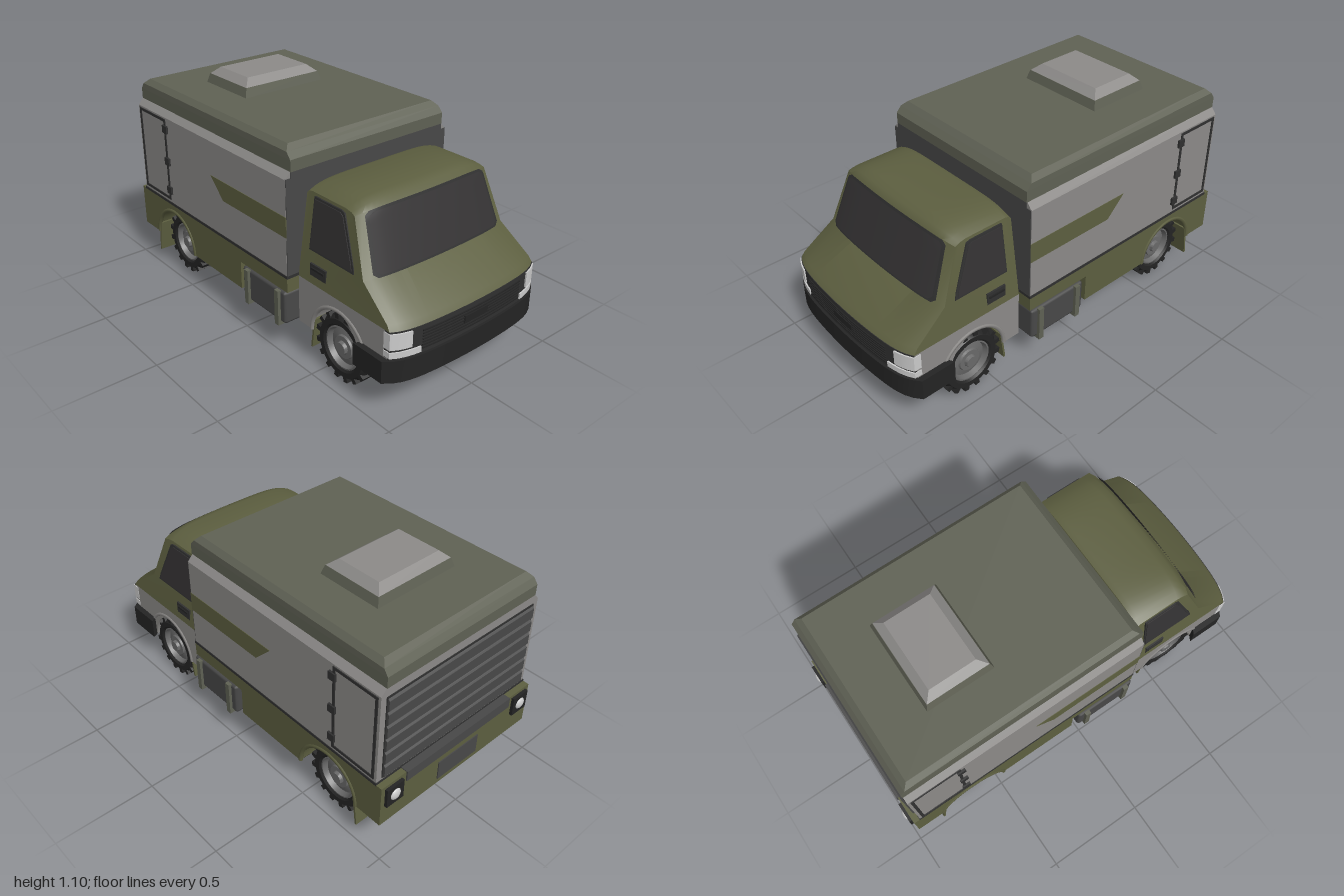
import * as THREE from 'three';
import { toCreasedNormals } from 'three/addons/utils/BufferGeometryUtils.js';
import { RoundedBoxGeometry } from 'three/addons/geometries/RoundedBoxGeometry.js';

const mat = (color) => new THREE.MeshStandardMaterial({ color });
const M = {
  olive: mat(0x5d5f40), roof: mat(0x5f6154), grey: mat(0x8c8a88), black: mat(0x242424),
  dark: mat(0x484848), glass: mat(0x343233), trim: mat(0x303030), lamp: mat(0xcccccc), rim: mat(0x6a6a6a),
};

// Rectangular sections [y, halfWidth, zBack, zFront] joined into a closed, flat-faced body
function loft(levels) {
  const ring = ([y, w, b, f]) => [[w, y, f], [w, y, b], [-w, y, b], [-w, y, f]];
  const pos = [];
  const quad = (a, b, c, d) => pos.push(...a, ...b, ...c, ...a, ...c, ...d);
  const rings = levels.map(ring);
  for (let i = 0; i < rings.length - 1; i++)
    for (let k = 0; k < 4; k++) {
      const n = (k + 1) % 4;
      quad(rings[i][k], rings[i][n], rings[i + 1][n], rings[i + 1][k]);
    }
  quad(...rings[rings.length - 1]);
  quad(...rings[0].slice().reverse());
  const g = new THREE.BufferGeometry();
  g.setAttribute('position', new THREE.Float32BufferAttribute(pos, 3));
  g.computeVertexNormals();
  return g;
}

// Side profile in (z, y) extruded across x from -halfWidth to halfWidth
function sideExtrude(shape, halfWidth, steps = 1) {
  const g = new THREE.ExtrudeGeometry(shape, { depth: 2 * halfWidth, steps, bevelEnabled: false, curveSegments: 24 });
  return g.rotateY(-Math.PI / 2).translate(halfWidth, 0, 0);
}
const polygon = (pts) => new THREE.Shape(pts.map(([z, y]) => new THREE.Vector2(z, y)));

function moveVertices(g, rule) {
  const p = g.attributes.position;
  for (let i = 0; i < p.count; i++) p.setXYZ(i, ...rule(p.getX(i), p.getY(i), p.getZ(i)));
  g.computeVertexNormals();
  return g;
}

// Cab form: narrowing upward, bowed front, rounded roof edges; t runs -1..1 across the width
const cabHalf = (y) => 0.445 - Math.max(0, y - 0.42) * 0.13;
function cabWarp(t, y, z) {
  const front = Math.max(0, (z - 0.345) / 0.655);
  return [t * cabHalf(y), y - 0.04 * t ** 6 * Math.max(0, (y - 0.8) / 0.065),
    z - front * (0.03 * t * t + 0.03 * t ** 8)];
}
function cabBox(t0, t1, y0, y1, z0, z1) {
  const g = new THREE.BoxGeometry(t1 - t0, y1 - y0, z1 - z0, Math.max(2, Math.ceil((t1 - t0) * 12)), 1, 1);
  g.translate((t0 + t1) / 2, (y0 + y1) / 2, (z0 + z1) / 2);
  return toCreasedNormals(moveVertices(g, cabWarp), 0.6);
}
function windscreen(tMax, y0, y1, offset) {
  return moveVertices(new THREE.PlaneGeometry(2, 1, 24, 16), (u, v) => {
    const e = Math.max(0, Math.abs(v) * 2 - 0.86) / 0.14;
    const t = u * tMax * (1 - 0.06 * (1 - Math.sqrt(Math.max(0, 1 - e * e))));
    const y = y0 + (y1 - y0) * (v + 0.5);
    const p = cabWarp(t, y, 0.785 - 0.105 * (y - 0.565) / 0.265);
    p[2] += offset;
    return p;
  });
}

function makeWheel() {
  const w = new THREE.Group();
  const lathe = (pts) => new THREE.LatheGeometry(pts.map(([r, h]) => new THREE.Vector2(r, h)), 36).rotateZ(-Math.PI / 2);
  const part = (name, g, m) => { const o = new THREE.Mesh(toCreasedNormals(g, 0.7), m); o.name = name; w.add(o); return o; };
  part('tyre', lathe([[0.1, -0.06], [0.115, -0.073], [0.14, -0.073], [0.155, -0.052], [0.159, 0],
    [0.155, 0.052], [0.14, 0.073], [0.115, 0.073], [0.1, 0.06]]), M.black);
  part('rim', lathe([[0, -0.05], [0.105, -0.05], [0.108, 0.064], [0.098, 0.066], [0.09, 0.04],
    [0.058, 0.048], [0.054, 0.058], [0.032, 0.058], [0.028, 0.074], [0, 0.074]]), M.rim);
  // Staggered tread lugs
  for (let i = 0; i < 32; i++) {
    const a = (i / 32) * Math.PI * 2, side = i % 2 ? 1 : -1;
    const lug = part('treadLug', new THREE.BoxGeometry(0.068, 0.032, 0.024).translate(side * 0.036, 0.151, 0), M.black);
    lug.rotation.x = a;
  }
  return w;
}

export function createModel() {
  const model = new THREE.Group();
  const add = (name, g, m, parent = model) => {
    const o = new THREE.Mesh(g, m);
    o.name = name;
    parent.add(o);
    return o;
  };
  const box = (name, x0, x1, y0, y1, z0, z1, m) => add(name, new THREE.BoxGeometry(Math.abs(x1 - x0), y1 - y0, z1 - z0)
    .translate((x0 + x1) / 2, (y0 + y1) / 2, (z0 + z1) / 2), m);
  const FRONT = 0.614, REAR = -0.65;

  // Cab shell
  const lower = new THREE.Shape().moveTo(0.345, 0.185).lineTo(FRONT - 0.175, 0.185);
  lower.absarc(FRONT, 0.185, 0.175, Math.PI, 0, true);
  lower.lineTo(0.97, 0.185).lineTo(0.985, 0.42).lineTo(0.345, 0.42);
  add('cabLower', toCreasedNormals(moveVertices(sideExtrude(lower, 1, 24), cabWarp), 0.6), M.grey);
  const upper = polygon([[0.345, 0.42], [0.985, 0.42], [0.965, 0.445], [0.785, 0.565], [0.68, 0.83],
    [0.655, 0.852], [0.615, 0.865], [0.38, 0.865], [0.355, 0.855], [0.345, 0.83]]);
  add('cabUpper', toCreasedNormals(moveVertices(sideExtrude(upper, 1, 24), cabWarp), 0.6), M.olive);
  box('cabBackPanel', -0.44, 0.44, 0.186, 0.42, 0.341, 0.35, M.olive);
  box('cabUnderbody', -0.25, 0.25, 0.182, 0.4, 0.35, 0.9, M.black);
  for (const [z0, z1] of [[0.35, 0.438], [0.79, 0.92]]) box('cabFloor', -0.435, 0.435, 0.181, 0.19, z0, z1, M.black);

  // Cab front
  add('windscreenFrame', windscreen(0.905, 0.567, 0.832, 0.005), M.trim);
  add('windscreen', windscreen(0.865, 0.578, 0.822, 0.009), M.glass);
  add('bumper', cabBox(-1.065, 1.065, 0.18, 0.287, 0.8, 1.0), M.black);
  add('grille', cabBox(-1, 1, 0.285, 0.42, 0.955, 0.988), M.trim);
  for (let i = 0; i < 7; i++) add('grilleSlat', cabBox(-0.68, 0.68, 0.308 + i * 0.014, 0.314 + i * 0.014, 0.96, 0.993), M.black);
  add('grilleCentre', cabBox(-0.16, 0.16, 0.34, 0.375, 0.96, 0.996), M.black);

  // Cargo body, roof and hatch
  add('cargoBody', loft([[0.41, 0.485, -0.94, 0.312], [0.88, 0.485, -0.94, 0.312], [0.912, 0.457, -0.94, 0.312]]), M.grey);
  box('cargoFrontWall', -0.484, 0.484, 0.41, 0.882, 0.308, 0.316, M.dark);
  box('cargoFrontTop', -0.457, 0.457, 0.88, 0.91, 0.308, 0.316, M.dark);
  add('roof', loft([[0.91, 0.458, -0.942, 0.316], [0.965, 0.458, -0.942, 0.316],
    [0.995, 0.457, -0.92, 0.29], [1.02, 0.432, -0.893, 0.265]]), M.roof);
  add('hatchBase', loft([[1.015, 0.235, -0.665, -0.32], [1.065, 0.22, -0.652, -0.335]]), M.roof);
  add('hatchLid', loft([[1.064, 0.22, -0.652, -0.335], [1.1, 0.18, -0.613, -0.378]]), M.grey);
  box('waistTrim', -0.488, 0.488, 0.4, 0.414, -0.944, 0.317, M.trim);

  // Skirt with rear wheel arches and a raised middle
  const skirt = new THREE.Shape().moveTo(-0.975, 0.185).lineTo(REAR - 0.178, 0.185);
  skirt.absarc(REAR, 0.185, 0.178, Math.PI, 0, true);
  skirt.lineTo(-0.05, 0.185).lineTo(-0.05, 0.33).lineTo(0.315, 0.33).lineTo(0.315, 0.405).lineTo(-0.975, 0.405);
  add('skirt', toCreasedNormals(sideExtrude(skirt, 0.487), 0.6), M.olive);
  box('rearUnderbody', -0.25, 0.25, 0.181, 0.39, -0.95, -0.06, M.black);
  for (const [z0, z1] of [[-0.96, -0.83], [-0.47, -0.055]]) box('rearFloor', -0.475, 0.475, 0.181, 0.19, z0, z1, M.black);
  box('chassisLink', -0.2, 0.2, 0.25, 0.38, -0.06, 0.36, M.olive);

  // Rear roller shutter and fittings
  box('shutterBacking', -0.455, 0.455, 0.425, 0.865, -0.944, -0.93, M.trim);
  const slat = polygon([[-0.93, 0], [-0.944, 0.066], [-0.953, 0.058], [-0.953, 0.006]]);
  for (let i = 0; i < 6; i++) add('shutterSlat', sideExtrude(slat, 0.45).translate(0, 0.43 + i * 0.072, 0), M.dark);
  box('rearStep', -0.34, 0.34, 0.355, 0.409, -0.982, -0.94, M.dark);
  box('plateRecess', -0.13, 0.13, 0.215, 0.315, -0.98, -0.96, M.dark);

  for (const s of [-1, 1]) {
    // Cab side: window, handle, lamps
    const sidePanel = (pts, off) => moveVertices(sideExtrude(polygon(pts), 1), (x, y, z) =>
      [s * (cabHalf(y) + (x * s > 0 ? off : -0.01)), y, z]);
    add('sideWindowFrame', sidePanel([[0.4, 0.57], [0.69, 0.57], [0.68, 0.605], [0.595, 0.805], [0.575, 0.812], [0.4, 0.812]], 0.003),
      M.trim).material.side = THREE.DoubleSide;
    add('sideWindow', sidePanel([[0.408, 0.58], [0.675, 0.58], [0.668, 0.605], [0.588, 0.792], [0.57, 0.802], [0.408, 0.802]], 0.006),
      M.glass).material.side = THREE.DoubleSide;
    box('doorHandle', s * 0.42, s * 0.441, 0.457, 0.515, 0.42, 0.525, M.trim);
    box('handleGrip', s * 0.43, s * 0.447, 0.49, 0.5, 0.43, 0.515, M.black);
    const lampSpan = (a, b) => (s > 0 ? [a, b] : [-b, -a]);
    add('headlamp', cabBox(...lampSpan(0.8, 1.008), 0.337, 0.413, 0.955, 0.995), M.lamp);
    add('indicator', cabBox(...lampSpan(0.7, 1.008), 0.297, 0.325, 0.955, 0.995), M.lamp);

    // Cargo side: stripe, door with hinges
    const stripe = polygon([[0.314, 0.605], [0.314, 0.705], [-0.275, 0.705], [-0.175, 0.605]]);
    add('sideStripe', sideExtrude(stripe, 0.002).translate(s * 0.4855, 0, 0), M.olive);
    const X0 = s * 0.478, X1 = s * 0.489;
    for (const z of [-0.682, -0.92]) box('doorFrameUpright', X0, X1, 0.43, 0.872, z - 0.007, z + 0.007, M.trim);
    for (const y of [0.435, 0.865]) box('doorFrameRail', X0, X1, y - 0.007, y + 0.007, -0.927, -0.675, M.trim);
    for (const y of [0.485, 0.645, 0.82]) box('doorHinge', X0, s * 0.496, y - 0.02, y + 0.02, -0.695, -0.655, M.trim);

    // Storage box with mounting brackets
    const tank = new RoundedBoxGeometry(0.17, 0.165, 0.33, 1, 0.014);
    add('storageBox', tank.translate(s * 0.415, 0.247, 0.147), M.dark);
    for (const z of [0.265, 0.03]) {
      box('boxBracket', s * 0.495, s * 0.515, 0.15, 0.33, z - 0.014, z + 0.014, M.roof);
      box('boxBracketFoot', s * 0.34, s * 0.515, 0.15, 0.166, z - 0.014, z + 0.014, M.roof);
    }

    // Tail lamps
    box('tailLampHousing', s * 0.365, s * 0.465, 0.29, 0.39, -0.99, -0.96, M.black);
    add('tailLamp', new THREE.SphereGeometry(0.03, 20, 12).scale(1, 1, 0.5).translate(s * 0.415, 0.34, -0.987), M.lamp);

    // Wheels, arch lips and mud flaps
    for (const [z, lipX, lipMat, flapIn, flapOut, flapY] of [
      [FRONT, 0.441, M.grey, 0.25, 0.44, 0.085], [REAR, 0.483, M.olive, 0.32, 0.487, 0.07]]) {
      const wheel = makeWheel();
      wheel.name = z > 0 ? 'frontWheel' : 'rearWheel';
      wheel.position.set(s * 0.358, 0.168, z);
      if (s < 0) wheel.rotation.y = Math.PI;
      model.add(wheel);
      add('archLip', new THREE.TorusGeometry(0.18, 0.011, 6, 24, Math.PI).rotateY(Math.PI / 2).translate(s * lipX, 0.185, z), lipMat);
      const flap = add('mudFlap', new THREE.BoxGeometry(flapOut - flapIn, 0.24 - flapY, 0.01), M.olive);
      flap.position.set(s * (flapIn + flapOut) / 2, (0.24 + flapY) / 2, z - 0.176);
      flap.rotation.x = 0.13;
    }
  }
  return model;
}
